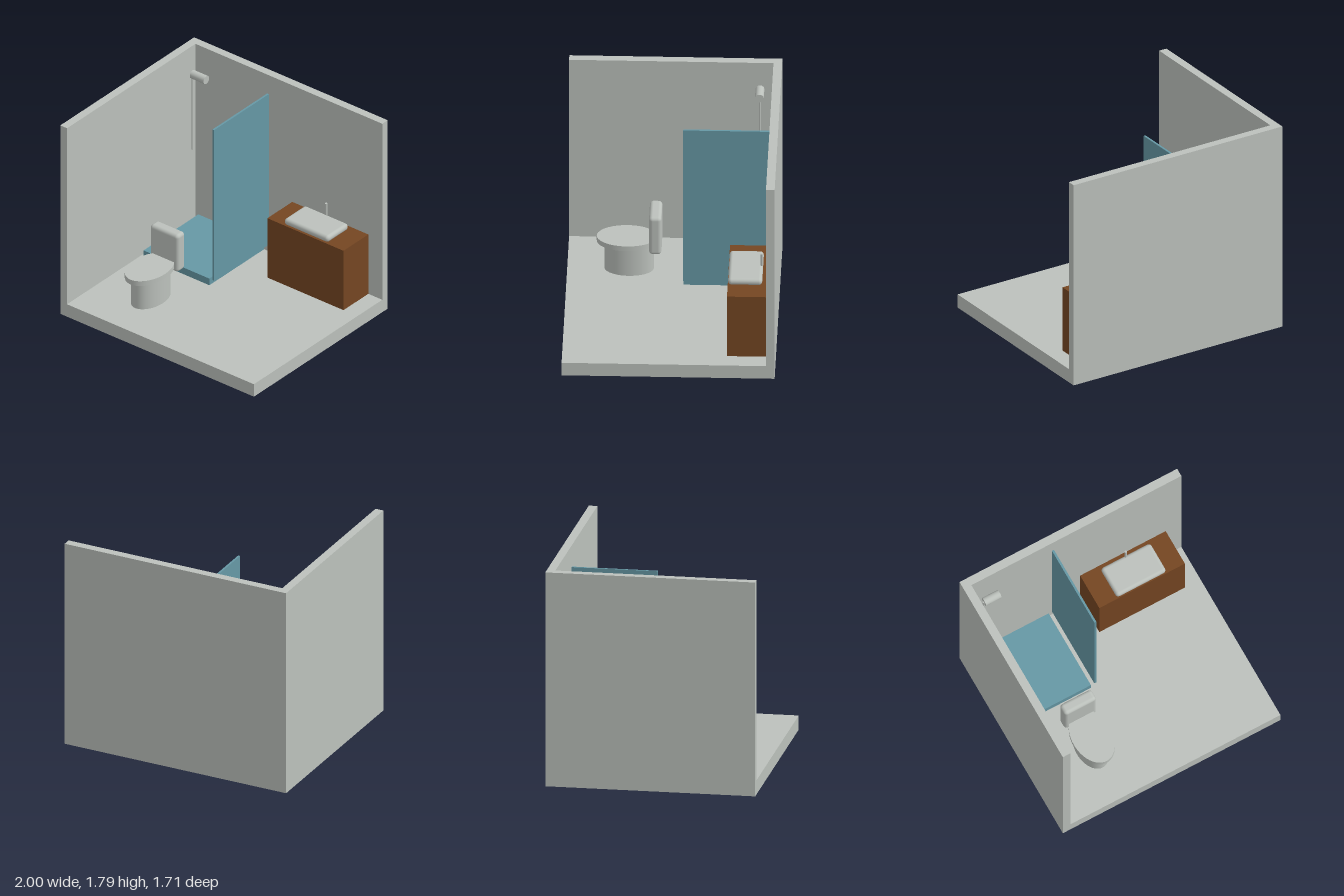
import * as THREE from 'three';
import { RoundedBoxGeometry } from 'three/addons/geometries/RoundedBoxGeometry.js';

export function createModel() {
  const room = new THREE.Group();
  room.name = 'bathroom';

  const paint = (name, color) => {
    const m = new THREE.MeshStandardMaterial({ color });
    m.name = name;
    return m;
  };
  const grey = paint('paleGrey', 0xbcc1bc);
  const blue = paint('glassBlue', 0x6698a5);
  const brown = paint('woodBrown', 0x754622);

  const add = (name, geometry, material, x, y, z, parent = room) => {
    const mesh = new THREE.Mesh(geometry, material);
    mesh.name = name;
    mesh.position.set(x, y, z);
    parent.add(mesh);
    return mesh;
  };
  // Box given by its limits on each axis; a radius rounds its edges
  const box = (name, material, [x0, x1], [y0, y1], [z0, z1], parent, radius = 0) => {
    const size = [x1 - x0, y1 - y0, z1 - z0];
    const geometry = radius
      ? new RoundedBoxGeometry(...size, 3, radius)
      : new THREE.BoxGeometry(...size);
    return add(name, geometry, material, (x0 + x1) / 2, (y0 + y1) / 2, (z0 + z1) / 2, parent);
  };
  // Upright cylinder with an elliptical footprint
  const oval = (name, rx, rz, y0, y1, x, z, parent, sides = 48) => {
    const geometry = new THREE.CylinderGeometry(1, 1, y1 - y0, sides).scale(rx, 1, rz);
    return add(name, geometry, grey, x, (y0 + y1) / 2, z, parent);
  };
  const group = (name) => {
    const g = new THREE.Group();
    g.name = name;
    room.add(g);
    return g;
  };

  // Room shell
  box('floor', grey, [-1, 1], [0, 0.118], [-0.857, 0.857]);
  box('backWall', grey, [-1, 1], [0.118, 1.787], [-0.857, -0.787]);
  box('sideWall', grey, [-1, -0.93], [0.118, 1.787], [-0.787, 0.857]);

  // Shower: tray, glass screen, riser pipe and head
  const shower = group('shower');
  box('showerTray', blue, [-0.9, -0.22], [0.118, 0.181], [-0.787, -0.085], shower);
  box('showerScreen', blue, [-0.189, -0.171], [0.181, 1.608], [-0.787, -0.085], shower);
  oval('showerPipe', 0.008, 0.008, 0.86, 1.575, -0.876, -0.68, shower, 16);
  const head = oval('showerHead', 0.036, 0.036, 0, 0.143, -0.802, -0.68, shower, 32);
  head.position.y = 1.574;
  head.rotation.z = Math.PI / 2;

  // Vanity: cabinet, basin and tap
  const vanity = group('vanity');
  box('cabinet', brown, [0.07, 0.856], [0.118, 0.681], [-0.787, -0.469], vanity);
  box('basin', grey, [0.233, 0.69], [0.681, 0.74], [-0.747, -0.472], vanity, 0.028);
  oval('tap', 0.0105, 0.0105, 0.735, 0.845, 0.461, -0.737, vanity, 16);

  // Toilet: bowl, seat and cistern
  const toilet = group('toilet');
  oval('bowl', 0.127, 0.199, 0.118, 0.373, -0.467, 0.359, toilet);
  oval('seat', 0.163, 0.245, 0.373, 0.418, -0.467, 0.375, toilet);
  box('cistern', grey, [-0.613, -0.321], [0.327, 0.677], [0.095, 0.196], toilet, 0.03);

  return room;
}
